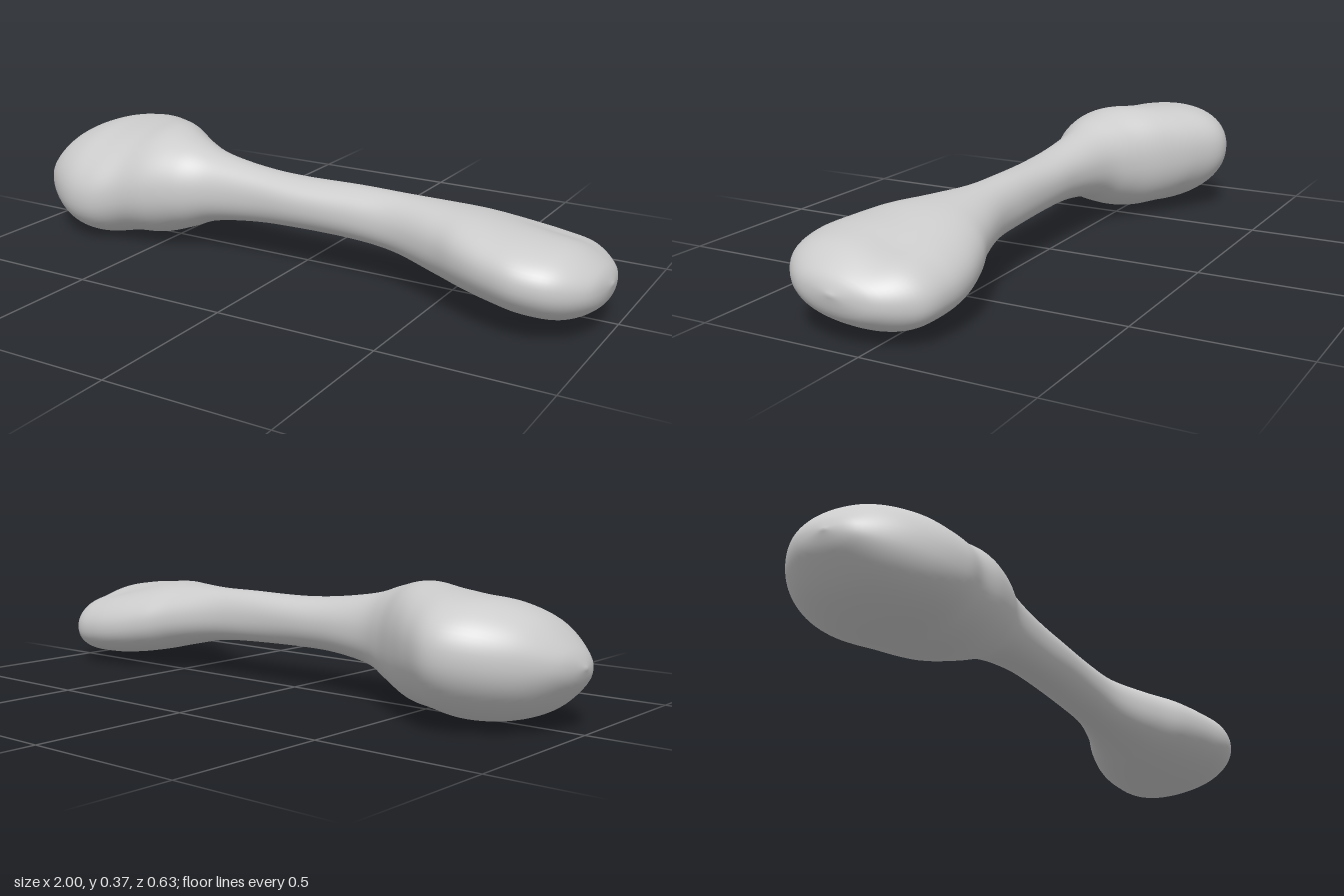
import * as THREE from 'three';

// Cross-sections along the bone: x, top y, bottom y, back z, front z, tilt
const SECTIONS = [
  [-1, 0.18, 0.18, 0, 0, -0.12],
  [-0.975, 0.235, 0.125, -0.11, 0.085, -0.12],
  [-0.9, 0.31, 0.055, -0.215, 0.165, -0.12],
  [-0.8, 0.35, 0.015, -0.29, 0.225, -0.13],
  [-0.7, 0.362, 0.005, -0.313, 0.24, -0.13],
  [-0.6, 0.37, 0.018, -0.262, 0.215, -0.1],
  [-0.5, 0.375, 0.027, -0.19, 0.205, -0.05],
  [-0.4, 0.352, 0.06, -0.115, 0.18, 0],
  [-0.3, 0.322, 0.1, -0.065, 0.145, 0],
  [-0.15, 0.3, 0.124, -0.041, 0.128, 0],
  [0, 0.29, 0.13, -0.037, 0.125, 0],
  [0.2, 0.29, 0.125, -0.037, 0.12, 0],
  [0.35, 0.288, 0.112, -0.044, 0.133, 0],
  [0.5, 0.29, 0.082, -0.08, 0.195, 0.05],
  [0.6, 0.289, 0.06, -0.12, 0.25, 0.09],
  [0.7, 0.28, 0.043, -0.147, 0.29, 0.1],
  [0.8, 0.27, 0.033, -0.152, 0.312, 0.1],
  [0.9, 0.25, 0.037, -0.13, 0.285, 0.1],
  [0.975, 0.2, 0.083, -0.04, 0.2, 0.09],
  [1, 0.15, 0.15, 0.08, 0.08, 0.09],
];

// Smooth closed skin lofted through the sections
function loftBone(rings, sides) {
  const tracks = [1, 2, 3, 4, 5].map(
    (k) => new THREE.SplineCurve(SECTIONS.map((s) => new THREE.Vector2(s[0], s[k]))));
  const positions = [];
  const index = [];
  const soft = (v) => Math.sign(v) * Math.abs(v) ** 0.93;
  for (let i = 1; i < rings; i++) {
    const pts = tracks.map((c) => c.getPoint(i / rings));
    const x = pts[0].x;
    const [top, bottom, back, front, tilt] = pts.map((p) => p.y);
    const cy = (top + bottom) / 2, cz = (back + front) / 2;
    const halfZ = (front - back) / 2;
    const halfY = Math.sqrt(Math.max(((top - bottom) / 2) ** 2 - (tilt * halfZ) ** 2, 1e-6));
    // shallow groove between the two knuckles of the narrower end
    const groove = 0.014 * Math.exp(-(((x - 0.83) / 0.12) ** 2));
    for (let j = 0; j < sides; j++) {
      const a = (j / sides) * Math.PI * 2;
      const dz = halfZ * soft(Math.cos(a));
      // faint uneven ridges along the shaft and necks
      const ridge = 1 + 0.015 * Math.sin(3 * a + x * 9) * Math.exp(-((x / 0.6) ** 4));
      let y = cy + (halfY * soft(Math.sin(a)) + tilt * dz) * ridge;
      if (Math.sin(a) > 0) y -= groove * Math.sin(a) * Math.exp(-(((cz + dz) / 0.06) ** 2));
      positions.push(x, y, cz + dz * ridge);
    }
  }
  for (let i = 0; i < rings - 2; i++) {
    for (let j = 0; j < sides; j++) {
      const k = (j + 1) % sides;
      const a = i * sides + j, b = a + sides, c = (i + 1) * sides + k, d = i * sides + k;
      index.push(a, b, c, a, c, d);
    }
  }
  // close both ends at a single point
  const start = positions.length / 3, last = (rings - 2) * sides;
  for (const s of [SECTIONS[0], SECTIONS[SECTIONS.length - 1]]) {
    positions.push(s[0], s[1], s[3]);
  }
  for (let j = 0; j < sides; j++) {
    const k = (j + 1) % sides;
    index.push(start, j, k, start + 1, last + k, last + j);
  }
  const geometry = new THREE.BufferGeometry();
  geometry.setAttribute('position', new THREE.Float32BufferAttribute(positions, 3));
  geometry.setIndex(index);
  geometry.computeVertexNormals();
  return geometry;
}

export function createModel() {
  const boneGrey = new THREE.MeshStandardMaterial({ color: 0xcccccc });
  boneGrey.name = 'bone grey';
  const bone = new THREE.Mesh(loftBone(114, 64), boneGrey);
  bone.name = 'bone';
  const model = new THREE.Group();
  model.name = 'boneModel';
  model.add(bone);
  return model;
}
